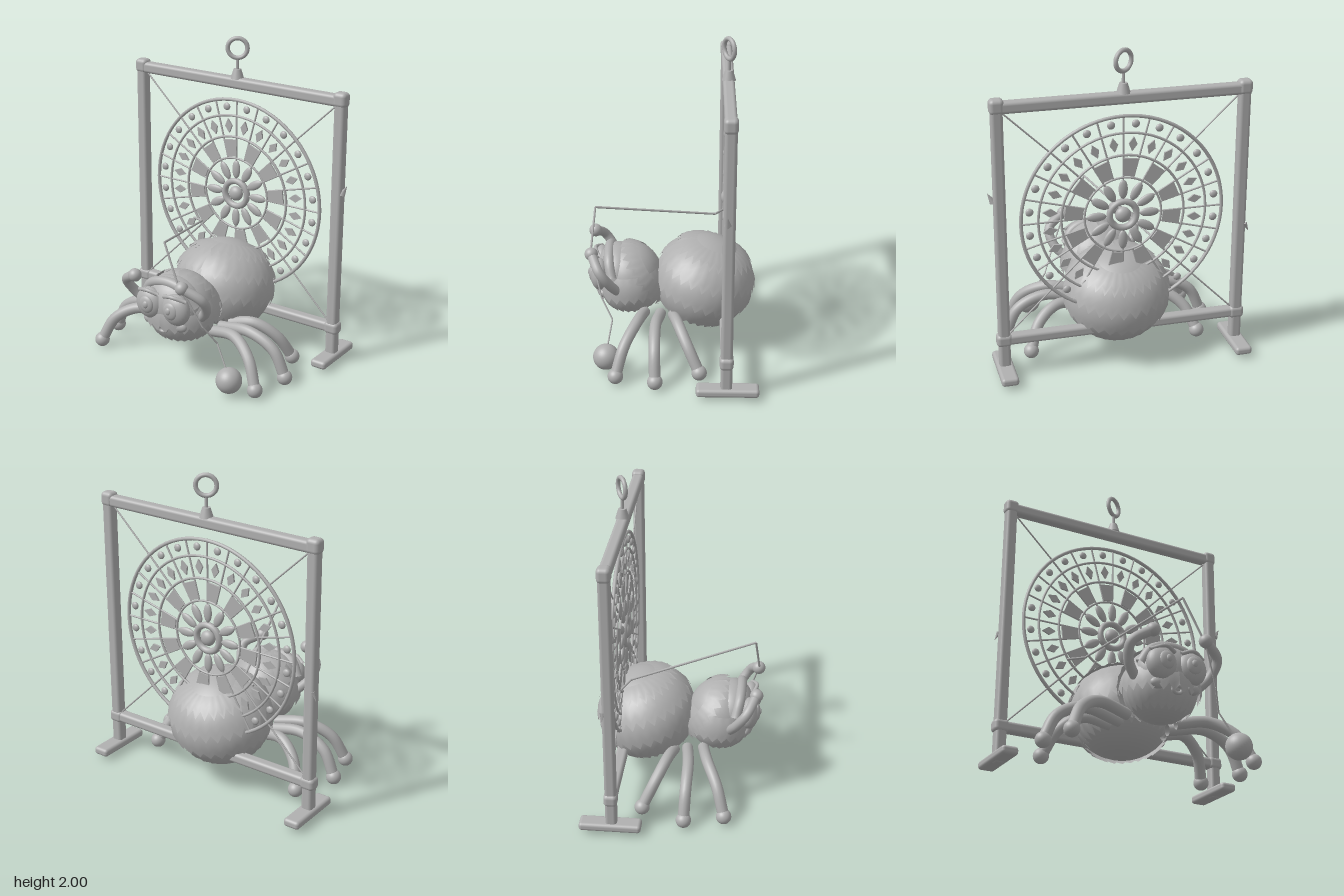
import * as THREE from 'three';
import { RoundedBoxGeometry } from 'three/addons/geometries/RoundedBoxGeometry.js';

const grey = new THREE.MeshStandardMaterial({ color: 0xb0b0b0, side: THREE.DoubleSide });
grey.name = 'plainGrey';

const V = (p) => new THREE.Vector3(...p);

function add(parent, name, geometry, pos = [0, 0, 0], rot = [0, 0, 0], scale = [1, 1, 1]) {
  const m = new THREE.Mesh(geometry, grey);
  m.name = name;
  m.position.set(...pos);
  m.rotation.set(...rot);
  m.scale.set(...scale);
  parent.add(m);
  return m;
}

function group(parent, name, pos = [0, 0, 0], tilt = 0) {
  const g = new THREE.Group();
  g.name = name;
  g.position.set(...pos);
  g.rotation.x = tilt;
  parent.add(g);
  return g;
}

const ball = (parent, name, pos, radii, rot) =>
  add(parent, name, new THREE.SphereGeometry(1, 32, 20), pos, rot, radii);

const box = (parent, name, size, pos, r = 0.02) =>
  add(parent, name, new RoundedBoxGeometry(...size, 3, r), pos);

// straight round rod between two points
function rod(parent, name, a, b, r) {
  const d = V(b).sub(V(a));
  const m = add(parent, name, new THREE.CylinderGeometry(r, r, d.length(), 8));
  m.position.copy(V(a)).addScaledVector(d, 0.5);
  m.quaternion.setFromUnitVectors(new THREE.Vector3(0, 1, 0), d.normalize());
}

// smooth bent limb
function limb(parent, name, points, r) {
  const curve = new THREE.CatmullRomCurve3(points.map(V));
  add(parent, name, new THREE.TubeGeometry(curve, 24, r, 14));
}

// fur band around an ellipsoid, between two polar angles, with a flared zigzag hem
function furBand(parent, name, radii, from, to, tooth, teeth, flare) {
  const pos = [], idx = [], rows = 4, n = teeth * 2;
  for (let j = 0; j <= rows; j++) {
    for (let i = 0; i <= n; i++) {
      const k = j / rows;
      const polar = from + (to + (i % 2 ? tooth : 0) - from) * k;
      const a = (i / n) * Math.PI * 2;
      const s = 1 + flare * k;
      pos.push(Math.sin(polar) * Math.sin(a) * radii[0] * s,
        Math.cos(polar) * radii[1] * s,
        Math.sin(polar) * Math.cos(a) * radii[2] * s);
      if (j < rows && i < n) {
        const p = j * (n + 1) + i, q = p + n + 1;
        idx.push(p, q, p + 1, p + 1, q, q + 1);
      }
    }
  }
  const g = new THREE.BufferGeometry();
  g.setAttribute('position', new THREE.Float32BufferAttribute(pos, 3));
  g.setIndex(idx);
  g.computeVertexNormals();
  add(parent, name, g);
}

function buildFrame(root) {
  const f = group(root, 'standFrame', [-0.008, 0, -0.345]);
  for (const s of [-1, 1]) {
    const x = s * 0.735;
    box(f, 'post', [0.07, 1.7, 0.07], [x, 0.87, 0]);
    box(f, 'foot', [0.105, 0.052, 0.375], [x, 0.052, -0.008]);
    box(f, 'topJoint', [0.085, 0.09, 0.08], [x, 1.715, 0], 0.025);
    box(f, 'lowerJoint', [0.095, 0.08, 0.082], [x, 0.245, 0], 0.025);
    // guy wires from the frame corners to the wheel rim
    for (const [y, e] of [[1.67, 1.42], [0.28, 0.54]]) {
      rod(f, 'guyWire', [s * 0.7, y, 0], [s * 0.44, e, 0], 0.005);
    }
  }
  box(f, 'topBar', [1.47, 0.07, 0.07], [0, 1.707, 0]);
  box(f, 'lowerBar', [1.47, 0.065, 0.07], [0, 0.245, 0]);
  // small barbs on the posts
  add(f, 'barb', new THREE.ConeGeometry(0.022, 0.07, 4), [0.785, 1.165, 0.01], [0, 0, -0.5]);
  add(f, 'barb', new THREE.ConeGeometry(0.015, 0.06, 4), [-0.775, 0.825, -0.03], [0, 0, 2.7]);
  // hanging ring
  add(f, 'ringBase', new THREE.CylinderGeometry(0.024, 0.042, 0.06, 24), [0, 1.765, 0]);
  add(f, 'ringStem', new THREE.CylinderGeometry(0.01, 0.01, 0.09, 12), [0, 1.825, 0]);
  add(f, 'hangingRing', new THREE.TorusGeometry(0.061, 0.014, 12, 40), [0, 1.925, 0], [0, 0.5, 0]);
}

function buildWheel(root) {
  const w = group(root, 'webWheel', [-0.01, 0.98, -0.345]);
  const rings = [[0.615, 0.011], [0.512, 0.008], [0.375, 0.008], [0.235, 0.007], [0.083, 0.02]];
  for (const [r, t] of rings) {
    add(w, 'wheelRing', new THREE.TorusGeometry(r, t, 8, 72), [0, 0, 0], [0, 0, 0], [1, 1, 1.1]);
  }
  ball(w, 'hub', [0, 0, 0], [0.048, 0.048, 0.035]);

  const diamond = new THREE.Shape([[0, 0.045], [0.026, 0], [0, -0.045], [-0.026, 0]]
    .map((p) => new THREE.Vector2(...p)));
  const panel = new THREE.Shape([[-0.034, 0.245], [0.034, 0.245], [0.05, 0.355], [-0.05, 0.355]]
    .map((p) => new THREE.Vector2(...p)));
  const plate = (s) => new THREE.ExtrudeGeometry(s, { depth: 0.012, bevelEnabled: false }).translate(0, 0, -0.006);
  const diamondGeo = plate(diamond), panelGeo = plate(panel);

  for (let i = 0; i < 24; i++) {
    const a = (i * Math.PI) / 12, h = a + Math.PI / 24;
    const at = (ang, r) => [Math.sin(ang) * r, Math.cos(ang) * r, 0];
    rod(w, 'spoke', at(a, i % 2 ? 0.235 : 0.09), at(a, 0.615), 0.006);
    ball(w, 'rimBead', at(h, 0.568), [0.024, 0.024, 0.014]);
    add(w, 'diamond', diamondGeo, at(h, 0.445), [0, 0, -h]);
    if (i % 2) add(w, 'panel', panelGeo, [0, 0, 0], [0, 0, -h]);
    else ball(w, 'petal', at(a, 0.162), [0.028, 0.06, 0.016], [0, 0, -a]);
  }
}

function buildBody(root) {
  // abdomen with overlapping fur skirts
  const abdomen = group(root, 'abdomen', [-0.005, 0.42, -0.215], -0.3);
  const size = [0.315, 0.285, 0.3];
  ball(abdomen, 'abdomenCore', [0, 0, 0], size);
  [[0.45, 0.78], [0.72, 1.25], [1.2, 1.72], [1.65, 2.25]].forEach(([a, b]) =>
    furBand(abdomen, 'abdomenFur', size, a, b, 0.17, 28, 0.07));

  // head and its fur
  const head = group(root, 'head', [-0.005, 0.43, 0.255], 0.08);
  const hs = [0.225, 0.225, 0.205];
  ball(head, 'headCore', [0, 0, 0], hs);
  furBand(head, 'headFur', hs, 1.2, 1.75, 0.17, 24, 0.12);
  furBand(head, 'lowerHeadFur', hs, 1.7, 2.25, 0.17, 24, 0.06);
  const collar = group(root, 'collar', [-0.005, 0.43, 0.24], -1.0);
  furBand(collar, 'collarFur', [0.225, 0.225, 0.215], 0.85, 1.2, 0.16, 24, 0.1);
}

function buildFace(root) {
  const f = group(root, 'face', [-0.005, 0, 0]);
  ball(f, 'facePad', [0, 0.47, 0.33], [0.2, 0.18, 0.14]);
  limb(f, 'brow', [[-0.19, 0.5, 0.36], [-0.13, 0.59, 0.38], [0, 0.625, 0.385],
    [0.13, 0.59, 0.38], [0.19, 0.5, 0.36]], 0.032);
  for (const s of [-1, 1]) {
    ball(f, 'eye', [s * 0.098, 0.49, 0.44], [0.095, 0.1, 0.06]);
    ball(f, 'iris', [s * 0.09, 0.495, 0.488], [0.05, 0.055, 0.022]);
    ball(f, 'pupil', [s * 0.085, 0.5, 0.503], [0.02, 0.024, 0.014]);
    limb(f, 'eyelid', [[s * 0.02, 0.565, 0.46], [s * 0.09, 0.585, 0.48], [s * 0.175, 0.56, 0.445]], 0.012);
    ball(f, 'cheek', [s * 0.11, 0.375, 0.42], [0.05, 0.035, 0.03]);
  }
  add(f, 'mouth', new THREE.TorusGeometry(0.024, 0.011, 10, 24), [0, 0.345, 0.45], [0.2, 0, 0], [1.2, 0.9, 1]);
}

function buildLimbs(root) {
  // body end, knee, shin and foot of each leg
  const legs = [
    [[0.16, 0.26, 0.16], [0.36, 0.29, 0.2], [0.51, 0.21, 0.27], [0.59, 0.05, 0.32]],
    [[0.16, 0.25, 0.06], [0.4, 0.285, 0.085], [0.57, 0.21, 0.085], [0.65, 0.05, 0.08]],
    [[0.18, 0.25, -0.02], [0.34, 0.28, -0.05], [0.47, 0.2, -0.11], [0.54, 0.05, -0.185]],
  ];
  const arm = [[0.19, 0.41, 0.32], [0.27, 0.5, 0.37], [0.285, 0.59, 0.43], [0.175, 0.665, 0.485]];
  for (const s of [-1, 1]) {
    const side = (p) => [p[0] * s - 0.007, p[1], p[2]];
    for (const leg of legs) {
      const pts = leg.map(side);
      limb(root, 'leg', pts, 0.035);
      ball(root, 'legFoot', pts[3], [0.047, 0.047, 0.047]);
    }
    const pts = arm.map(side);
    limb(root, 'arm', pts, 0.03);
    ball(root, 'hand', pts[3], [0.041, 0.041, 0.041]);
  }
}

function buildThreads(root) {
  const path = (name, pts, r) => {
    for (let i = 1; i < pts.length; i++) rod(root, name, pts[i - 1], pts[i], r);
  };
  path('webThread', [[-0.33, 0.75, -0.33], [-0.23, 0.765, -0.28], [0.03, 0.92, 0.465], [0.15, 0.67, 0.49]], 0.007);
  path('yarnThread', [[0.17, 0.65, 0.48], [0.27, 0.42, 0.42], [0.33, 0.3, 0.35], [0.44, 0.12, 0.385]], 0.005);
  ball(root, 'yarnBall', [0.44, 0.1, 0.385], [0.08, 0.08, 0.08]);
}

export function createModel() {
  const root = new THREE.Group();
  root.name = 'spiderWithWebStand';
  [buildFrame, buildWheel, buildBody, buildFace, buildLimbs, buildThreads].forEach((b) => b(root));
  return root;
}
